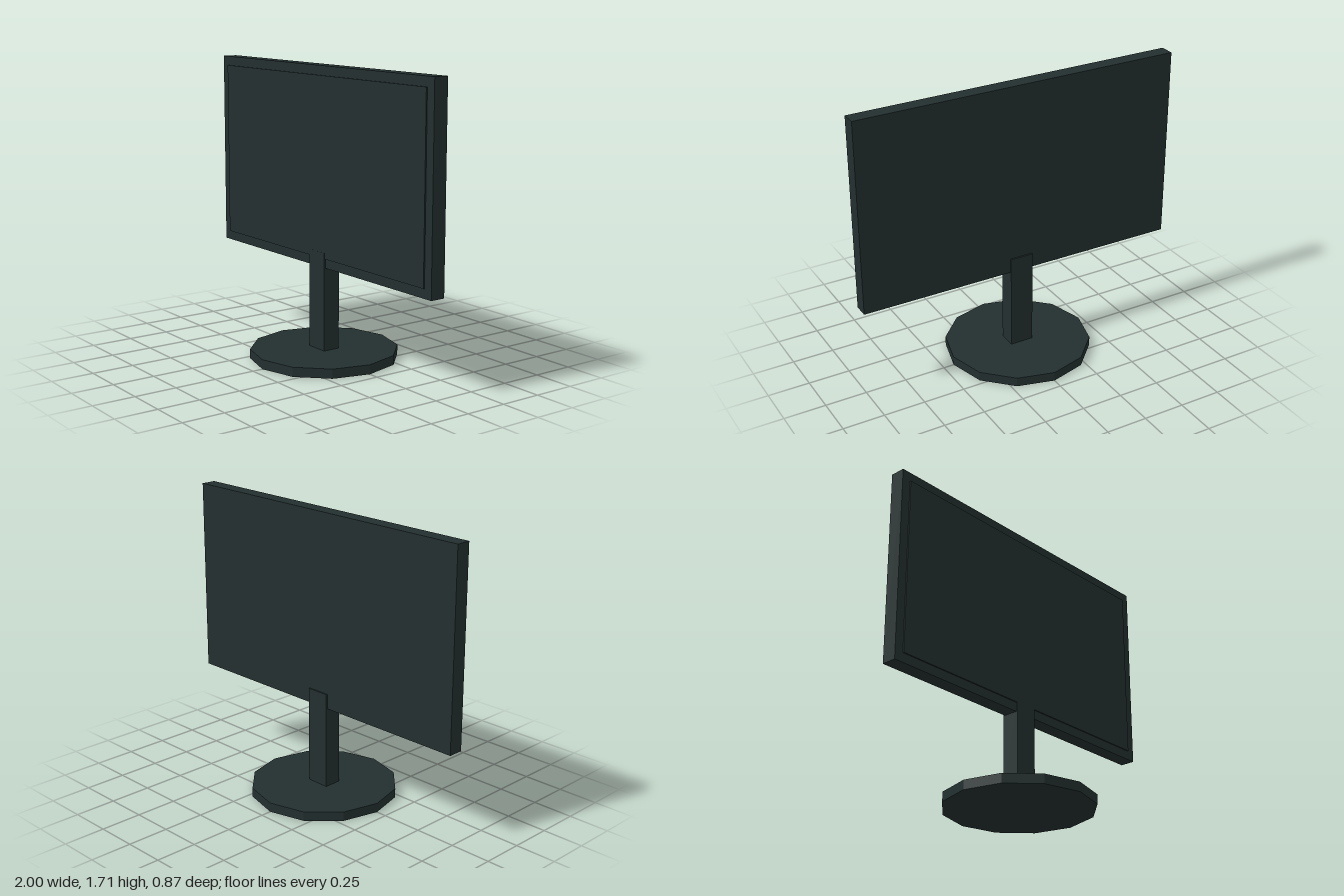
import * as THREE from 'three';

export function createModel() {
  const model = new THREE.Group();
  model.name = 'monitor';
  const darkSlate = new THREE.MeshStandardMaterial({ color: 0x232f2f, flatShading: true });
  darkSlate.name = 'dark slate';

  const add = (name, geometry, x, y, z) => {
    const mesh = new THREE.Mesh(geometry, darkSlate);
    mesh.name = name;
    mesh.position.set(x, y, z);
    model.add(mesh);
  };
  // Box spanning given heights and depths, centred on x
  const box = (name, width, y0, y1, z0, z1) =>
    add(name, new THREE.BoxGeometry(width, y1 - y0, z1 - z0), 0, (y0 + y1) / 2, (z0 + z1) / 2);

  // Twelve-sided foot, with corners on the x and z axes
  add('base', new THREE.CylinderGeometry(0.436, 0.436, 0.056, 12), 0, 0.028, 0);
  // Post that overlaps the lower edge of the housing
  box('standPost', 0.144, 0.05, 0.64, -0.053, 0.053);
  // Display housing and its slightly raised screen
  box('housing', 2, 0.55, 1.71, -0.0445, 0.0445);
  box('screen', 1.89, 0.605, 1.655, 0.044, 0.052);

  return model;
}
